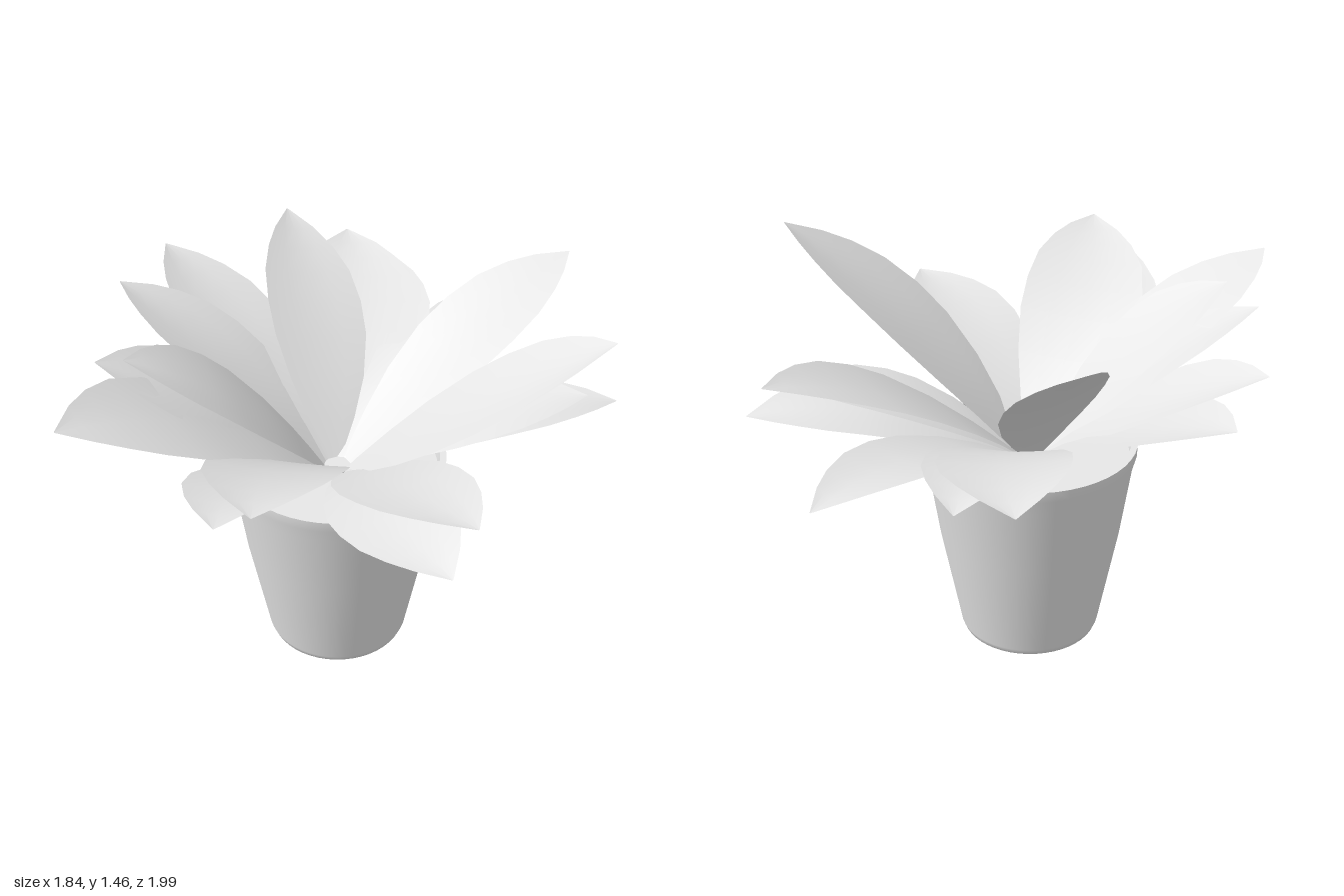
import * as THREE from 'three';

const CENTRE_Z = 0.05;

// Leaf tips: x, y, z, half-width, arch height, sideways bow, roll
const LEAVES = [
  [0.92, 1.46, -0.12, 0.21, 0.06, -0.06, 0.025],
  [0.78, 0.92, -0.56, 0.19, 0.1, -0.02, -0.025],
  [0.72, 1.0, -0.43, 0.17, 0.08, -0.02, 0],
  [0.42, 1.26, -0.87, 0.19, 0.1, -0.02, -0.01],
  [0.15, 0.96, -1.0, 0.16, 0.1, -0.02, 0],
  [-0.29, 1.02, -0.86, 0.18, 0.1, -0.03, 0.01],
  [-0.51, 1.08, -0.86, 0.22, 0.1, -0.06, 0.01],
  [-0.51, 1.37, -0.44, 0.17, 0.05, -0.03, 0.03],
  [-0.92, 1.2, -0.24, 0.19, 0.07, 0, 0.03],
  [-0.87, 1.23, 0.1, 0.18, 0.07, -0.02, 0.03],
  [-0.62, 1.24, 0.56, 0.19, 0.07, 0, -0.02],
  [-0.45, 1.28, 0.97, 0.22, 0.1, -0.04, -0.03],
  [-0.49, 1.3, 0.57, 0.19, 0.09, 0, 0],
  [0.28, 1.26, 0.98, 0.22, 0.1, -0.06, 0.015],
  [0.15, 1.17, 0.99, 0.2, 0.07, -0.08, 0.04],
  [0.77, 0.99, 0.64, 0.18, 0.08, -0.03, 0.05],
  [0.78, 1.09, 0.5, 0.19, 0.08, -0.03, 0],
];

// Fraction along the leaf and share of its full width
const OUTLINE = [[0, 0.14], [0.14, 0.5], [0.28, 0.79], [0.44, 0.98], [0.57, 1], [0.7, 0.91], [0.81, 0.69], [0.9, 0.42], [1, 0.01]];

// Arched, slightly cupped blade running from the crown to its tip
function leafGeometry([tx, ty, tz, halfWidth, arch, bow, roll]) {
  const across = 4;
  const geometry = new THREE.PlaneGeometry(1, 1, across, OUTLINE.length - 1);
  const tip = new THREE.Vector3(tx, ty, tz - CENTRE_Z);
  const out = new THREE.Vector3(tip.x, 0, tip.z).normalize();
  const side = new THREE.Vector3(out.z, 0, -out.x);
  const base = out.clone().multiplyScalar(0.04).setY(0.72);
  const p = new THREE.Vector3();
  OUTLINE.forEach(([t, share], row) => {
    const bend = 4 * t * (1 - t);
    for (let i = 0; i <= across; i++) {
      const s = (i / across) * 2 - 1;
      p.lerpVectors(base, tip, t).addScaledVector(side, s * share * halfWidth + bow * bend);
      p.y += arch * bend + share * (0.03 * t * (s * s - 0.5) + roll * s);
      geometry.attributes.position.setXYZ(row * (across + 1) + i, p.x, p.y, p.z);
    }
  });
  geometry.computeVertexNormals();
  return geometry;
}

export function createModel() {
  const model = new THREE.Group();
  model.name = 'pottedPlant';
  const grey = new THREE.MeshStandardMaterial({ color: 0xe7e7e7, side: THREE.DoubleSide });
  grey.name = 'lightGrey';

  const add = (name, geometry, parent) => {
    const mesh = new THREE.Mesh(geometry, grey);
    mesh.name = name;
    parent.add(mesh);
  };
  const lathe = (points) => new THREE.LatheGeometry(points.map(([r, y]) => new THREE.Vector2(r, y)), 48);

  // Pot: outer wall, flat rim, inner wall, base and soil
  const pot = new THREE.Group();
  pot.name = 'pot';
  pot.position.z = CENTRE_Z;
  add('potWall', lathe([[0.235, 0], [0.247, 0.008], [0.256, 0.03], [0.328, 0.41], [0.368, 0.68], [0.383, 0.735], [0.385, 0.775]]), pot);
  add('potRim', lathe([[0.385, 0.775], [0.362, 0.775]]), pot);
  add('potInside', lathe([[0.362, 0.775], [0.355, 0.72]]), pot);
  add('potBase', new THREE.CircleGeometry(0.235, 48).rotateX(Math.PI / 2), pot);
  add('soil', new THREE.CircleGeometry(0.357, 48).rotateX(-Math.PI / 2).translate(0, 0.725, 0), pot);
  model.add(pot);

  // Rosette of leaves
  const foliage = new THREE.Group();
  foliage.name = 'foliage';
  foliage.position.z = CENTRE_Z;
  LEAVES.forEach((leaf, i) => add(`leaf${i + 1}`, leafGeometry(leaf), foliage));
  model.add(foliage);
  return model;
}
